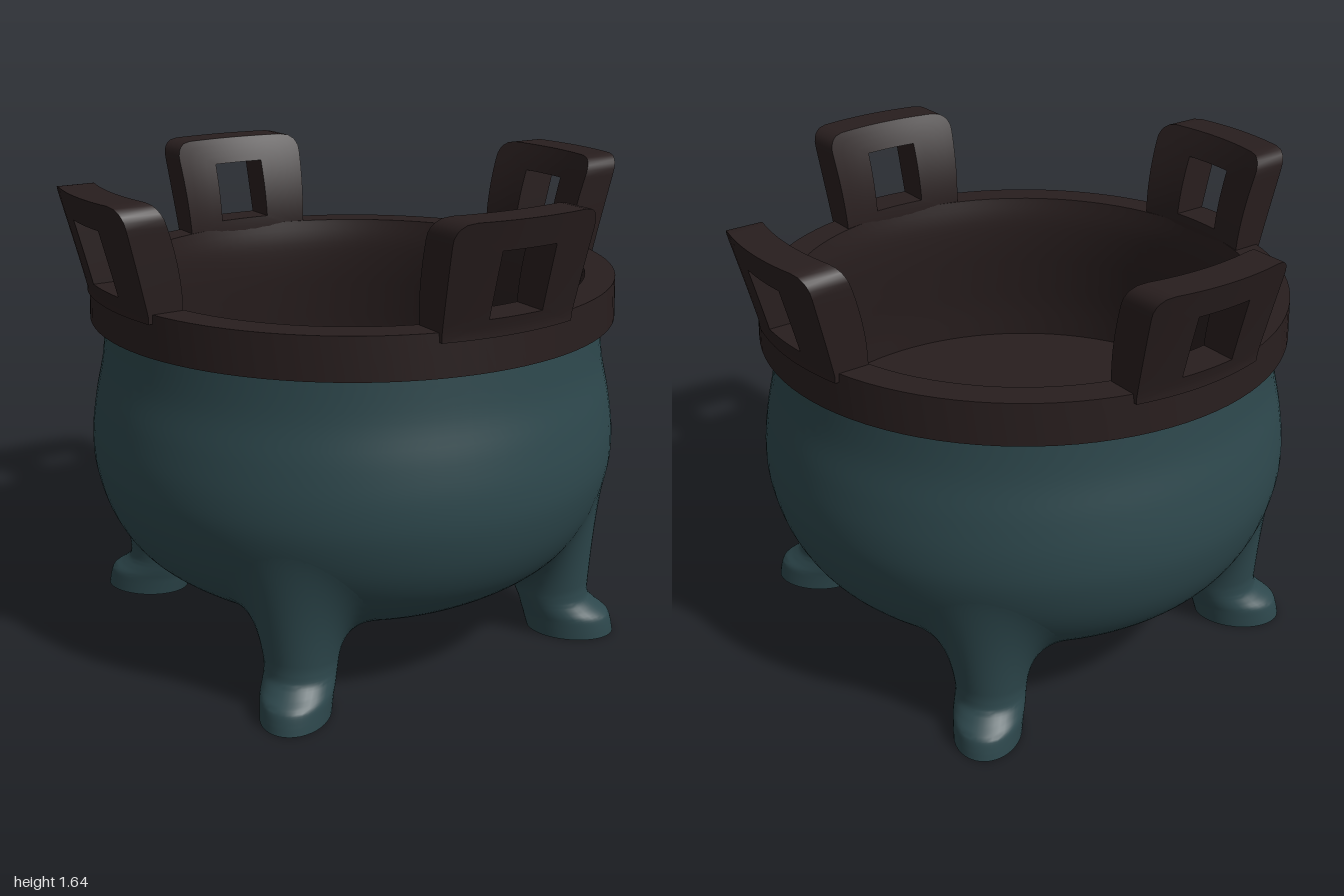
import * as THREE from 'three';
import { toCreasedNormals } from 'three/addons/utils/BufferGeometryUtils.js';

const glaze = new THREE.MeshStandardMaterial({ color: 0x2d474c });
glaze.name = 'teal glaze';
const iron = new THREE.MeshStandardMaterial({ color: 0x281e1e });
iron.name = 'dark iron';

const v2 = (p) => new THREE.Vector2(p[0], p[1]);
const { lerp } = THREE.MathUtils;

// Profile of the bulging pot wall, from the underside up
const bodyCurve = new THREE.SplineCurve([
  [0, 0.14], [0.2, 0.142], [0.38, 0.16], [0.54, 0.205], [0.68, 0.275], [0.8, 0.37],
  [0.875, 0.49], [0.915, 0.63], [0.92, 0.75], [0.902, 0.88], [0.872, 1.02], [0.855, 1.18],
].map(v2));

function part(name, geometry, material) {
  const mesh = new THREE.Mesh(geometry, material);
  mesh.name = name;
  return mesh;
}

// Skin over a list of closed rings of Vector3
function skin(rings, crease) {
  const n = rings[0].length, index = [];
  for (let i = 0; i < rings.length - 1; i++) {
    for (let j = 0; j < n; j++) {
      const a = i * n + j, b = i * n + ((j + 1) % n);
      index.push(a, b, b + n, a, b + n, a + n);
    }
  }
  const geo = new THREE.BufferGeometry().setFromPoints(rings.flat());
  geo.setIndex(index);
  return toCreasedNormals(geo, crease);
}

// Square rim band, hollowed inner wall and inner floor
function rimGeometry() {
  const wall = new THREE.SplineCurve([
    [0.8, 1.3], [0.787, 1.21], [0.79, 1.1], [0.805, 0.97], [0.822, 0.83], [0.83, 0.7],
  ].map(v2));
  const profile = [
    ...[[0.84, 1.16], [0.907, 1.16], [0.902, 1.3]].map(v2), ...wall.getPoints(20), v2([0, 0.7]),
  ];
  return toCreasedNormals(new THREE.LatheGeometry(profile, 96), 0.6);
}

// Bends a flat handle point: follows the rim, flares outward at the top
function bendHandle(x, y, depth) {
  const t = Math.max(0, (y - 1.29) / 0.347);
  const inner = 0.797 + 0.08 * t ** 1.8;
  const outer = 0.913 + 0.087 * t ** 1.05;
  return new THREE.Vector3(x, y, lerp(inner, outer, depth) - (x * x) / 1.9);
}

// Point on the handle's outline: sides lean outward, top corners rounded
function handleOutline(sx, sy) {
  const r = 0.06, p = new THREE.Vector2(Math.abs(sx) * 0.264, 1.4535 + sy * 0.1835);
  const centre = new THREE.Vector2(0.264 - r, 1.637 - r);
  const q = p.clone().sub(centre);
  if (q.x > 0 && q.y > 0) p.copy(centre).add(q.setLength(r));
  p.x *= lerp(0.92, 1, (p.y - 1.27) / 0.367);
  return p.setX(p.x * Math.sign(sx));
}

// Frame around a square opening, swept once around the hole
function handleGeometry() {
  const corners = [[1, -1], [1, 1], [-1, 1], [-1, -1]];
  const steps = 16, across = 4, rings = [];
  for (let i = 0; i <= 4 * steps; i++) {
    const a = corners[Math.floor(i / steps) % 4], b = corners[(Math.floor(i / steps) + 1) % 4];
    const s = (i % steps) / steps;
    const sx = lerp(a[0], b[0], s), sy = lerp(a[1], b[1], s);
    const hole = new THREE.Vector2(sx * 0.099, 1.437 + sy * 0.107);
    const edge = handleOutline(sx, sy);
    const front = [], back = [];
    for (let k = 0; k <= across; k++) {
      const p = hole.clone().lerp(edge, k / across);
      front.push(bendHandle(p.x, p.y, 1));
      back.unshift(bendHandle(p.x, p.y, 0));
    }
    rings.push([...front, ...back]);
  }
  return skin(rings, 0.6);
}

// Point of an oval drawn on the pot wall around a leg
function wallPoint(angle, middle, reach, width, swell) {
  const p = bodyCurve.getPoint((middle + Math.cos(angle) * reach) / 11);
  const turn = (Math.sin(angle) * width) / p.x;
  const centre = new THREE.Vector3(0, 0.6, 0);
  return new THREE.Vector3(p.x * Math.sin(turn), p.y, p.x * Math.cos(turn))
    .sub(centre).multiplyScalar(swell).add(centre);
}

// Leg of oval sections with an outturned foot, flowing into the pot wall
function legGeometry() {
  // height, distance from the axis, radial half width, sideways half width
  const key = [
    [0, 0.811, 0.155, 0.115], [0.04, 0.801, 0.157, 0.117], [0.07, 0.791, 0.156, 0.119],
    [0.1, 0.766, 0.139, 0.12], [0.13, 0.745, 0.129, 0.12], [0.16, 0.735, 0.132, 0.122],
  ];
  const centre = new THREE.CatmullRomCurve3(key.map((k) => new THREE.Vector3(0, k[0], k[1])));
  const widths = new THREE.CatmullRomCurve3(key.map((k) => new THREE.Vector3(k[3], 0, k[2])));
  const sides = 40, rows = 20, blendRows = 18;
  const angles = Array.from({ length: sides }, (_, j) => (j / sides) * Math.PI * 2);

  // Flat sole, then foot and ankle
  const rings = [angles.map(() => centre.getPoint(0))];
  for (let i = 0; i <= rows; i++) {
    const c = centre.getPoint(i / rows), w = widths.getPoint(i / rows);
    rings.push(angles.map((a) =>
      new THREE.Vector3(Math.sin(a) * w.x, c.y, c.z + Math.cos(a) * w.z)));
  }
  // Fillet from the ankle to the pot wall
  const fillets = angles.map((a, j) => new THREE.QuadraticBezierCurve3(
    rings[rows + 1][j],
    wallPoint(a, 4.55, 1.35, 0.14, 1.015),
    wallPoint(a, 4.55, 2.15, 0.25, 1),
  ));
  for (let i = 1; i <= blendRows; i++) rings.push(fillets.map((f) => f.getPoint(i / blendRows)));
  return skin(rings, 0.9);
}

export function createModel() {
  const model = new THREE.Group();
  model.name = 'cauldron';
  const body = new THREE.LatheGeometry(bodyCurve.getPoints(55), 96);
  model.add(part('body', body, glaze), part('rimAndInside', rimGeometry(), iron));

  const handle = handleGeometry();
  const leg = legGeometry();
  for (let i = 0; i < 4; i++) {
    const h = part('handle', handle, iron);
    h.rotation.y = (i * Math.PI) / 2;
    const l = part('leg', leg, glaze);
    l.rotation.y = ((i + 0.5) * Math.PI) / 2;
    model.add(h, l);
  }
  return model;
}
